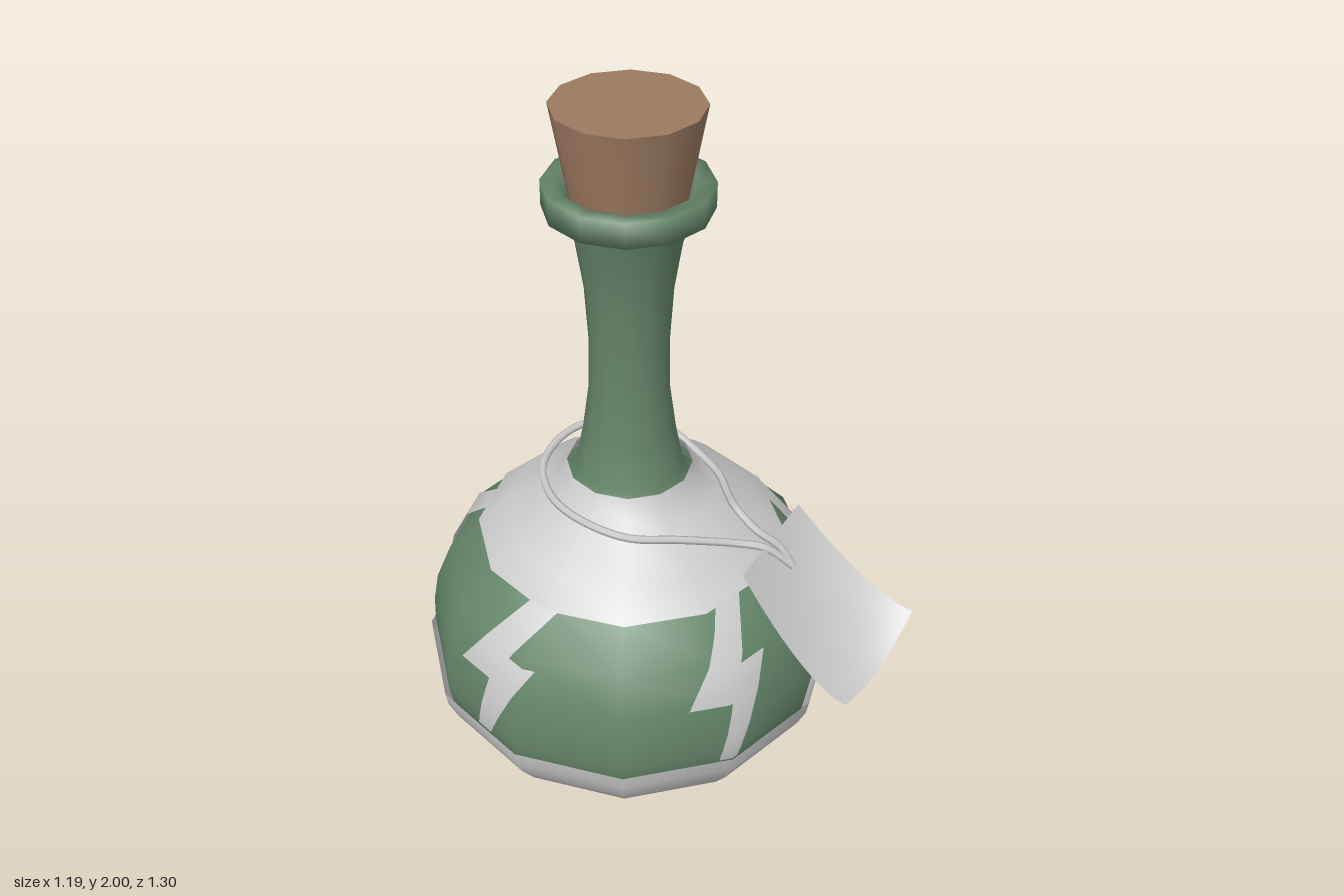
import * as THREE from 'three';
import { toCreasedNormals } from 'three/addons/utils/BufferGeometryUtils.js';

const SIDES = 12;
const AXIS_Z = -0.057; // the tag hangs forward, so the bottle sits slightly back

const material = (color) => new THREE.MeshStandardMaterial({ color, side: THREE.DoubleSide });
const grey = material(0xcccccc);
const green = material(0x65856a);
const brown = material(0x9c7a60);

// Whole glass from base to mouth: radius, height
const glassProfile = [
  [0, 0.02], [0.28, 0.022], [0.355, 0.05], [0.43, 0.1], [0.5, 0.165], [0.55, 0.235], [0.575, 0.29],
  [0.583, 0.34], [0.58, 0.42], [0.564, 0.51], [0.52, 0.62], [0.415, 0.73], [0.335, 0.785],
  [0.22, 0.857], [0.172, 0.9], [0.148, 0.95], [0.125, 1.07], [0.108, 1.2], [0.106, 1.35],
  [0.115, 1.5], [0.135, 1.63], [0.168, 1.74],
];

function mesh(name, geometry, mat) {
  const m = new THREE.Mesh(geometry, mat);
  m.name = name;
  return m;
}

// Twelve-sided turned part; edges sharper than the crease stay hard
function turned(name, profile, mat, crease = 0.75) {
  const points = profile.map(([r, y]) => new THREE.Vector2(r, y));
  return mesh(name, toCreasedNormals(new THREE.LatheGeometry(points, SIDES), crease), mat);
}

// Radius of the glass by height
function glassRadius(y) {
  const i = Math.max(1, glassProfile.findIndex((p) => p[1] >= y));
  const [r0, y0] = glassProfile[i - 1];
  const [r1, y1] = glassProfile[i];
  return r0 + (r1 - r0) * (y - y0) / (y1 - y0);
}

// Moves a flat grid by a rule (u, v in 0..1, v measured upwards)
function sheet(columns, rows, rule) {
  const g = new THREE.PlaneGeometry(1, 1, columns, rows);
  const p = g.attributes.position;
  for (let i = 0; i < p.count; i++) {
    p.setXYZ(i, ...rule(p.getX(i) + 0.5, p.getY(i) + 0.5));
  }
  g.computeVertexNormals();
  return g;
}

// Smooth normals following the round of the glass, so the bands shade as one
function roundNormals(g) {
  const { position, normal } = g.attributes;
  const n = new THREE.Vector3();
  for (let i = 0; i < position.count; i++) {
    const y = position.getY(i);
    const slope = (glassRadius(y + 0.08) - glassRadius(y - 0.08)) / 0.16;
    n.set(position.getX(i), 0, position.getZ(i)).normalize().setY(-slope).normalize();
    normal.setXYZ(i, n.x, n.y, n.z);
  }
  return g;
}

// Lightning bolt inlay, three bands wrapped on the faceted glass
function bolt(azimuth) {
  const group = new THREE.Group();
  group.name = 'boltInlay';
  // bottom y, top y, left and right at bottom, left and right at top
  const bands = [
    [0.325, 0.515, -0.037, 0.018, 0.005, 0.104],
    [0.515, 0.602, -0.115, 0.104, -0.055, 0.146],
    [0.602, 0.73, -0.055, 0.058, 0.036, 0.126],
  ];
  const step = (2 * Math.PI) / SIDES;
  for (const [y0, y1, l0, r0, l1, r1] of bands) {
    const g = sheet(12, 6, (u, v) => {
      const y = y0 + (y1 - y0) * v;
      const left = l0 + (l1 - l0) * v;
      const right = r0 + (r1 - r0) * v;
      const radius = glassRadius(y) + 0.012;
      const a = azimuth + Math.asin((left + (right - left) * u) / radius);
      const inFacet = a - Math.floor(a / step) * step - step / 2;
      const r = (radius * Math.cos(step / 2)) / Math.cos(inFacet);
      return [r * Math.sin(a), y, r * Math.cos(a)];
    });
    group.add(mesh('boltBand', roundNormals(g), grey));
  }
  return group;
}

// Curled paper tag hanging from the string
function tag() {
  return mesh('tag', sheet(8, 10, (u, v) => {
    const t = 1 - v;
    const curl = 1 - Math.pow(1 - t, 1.5);
    const drop = (0.33 - 0.09 * u) * curl + 0.05 * Math.sin(Math.PI * u) * t;
    return [
      0.1 + 0.29 * u + (0.175 + 0.02 * u) * t,
      0.83 - drop,
      0.385 - 0.18 * u + (0.265 + 0.04 * u) * t,
    ];
  }), grey);
}

// String looped round the neck, both ends meeting at the tag
function string() {
  const path = [
    [0.28, 0.765, 0.355], [0.215, 0.825, 0.315], [0.15, 0.835, 0.272], [0.0, 0.87, 0.222],
    [-0.13, 0.89, 0.17], [-0.215, 0.905, 0.055], [-0.238, 0.91, -0.06], [-0.2, 0.92, -0.19],
    [-0.1, 0.93, -0.27], [0.0, 0.93, -0.292], [0.11, 0.925, -0.265], [0.195, 0.905, -0.19],
    [0.23, 0.88, -0.08], [0.235, 0.875, 0.03], [0.205, 0.885, 0.13], [0.182, 0.9, 0.21],
    [0.205, 0.865, 0.28], [0.255, 0.82, 0.325], [0.28, 0.765, 0.355],
  ].map((p) => new THREE.Vector3(...p));
  return mesh('string', new THREE.TubeGeometry(new THREE.CatmullRomCurve3(path), 80, 0.011, 6), grey);
}

export function createModel() {
  const model = new THREE.Group();
  model.name = 'potionBottle';

  const bottle = new THREE.Group();
  bottle.name = 'bottle';
  bottle.position.z = AXIS_Z;
  model.add(bottle);

  bottle.add(turned('glass', glassProfile, green));

  // Thin cup around the base, standing just off the glass
  bottle.add(turned('baseCup', [
    [0, 0], [0.28, 0.005], [0.365, 0.034], [0.445, 0.085], [0.515, 0.15],
    [0.565, 0.222], [0.59, 0.28], [0.597, 0.325],
  ], grey));

  // Thin collar over the shoulder
  bottle.add(turned('shoulderCollar', [
    [0.43, 0.727], [0.355, 0.793], [0.24, 0.865], [0.2, 0.9], [0.173, 0.95],
  ], grey));

  // Lip at the mouth
  bottle.add(turned('lip', [
    [0.15, 1.735], [0.216, 1.731], [0.216, 1.799], [0.175, 1.799], [0.15, 1.75],
  ], green, 1.7));

  bottle.add(turned('cork', [[0, 1.7], [0.138, 1.7], [0.192, 2], [0, 2]], brown));

  for (let i = 0; i < 5; i++) bottle.add(bolt((i * 2 * Math.PI) / 5));

  model.add(string(), tag());
  return model;
}
